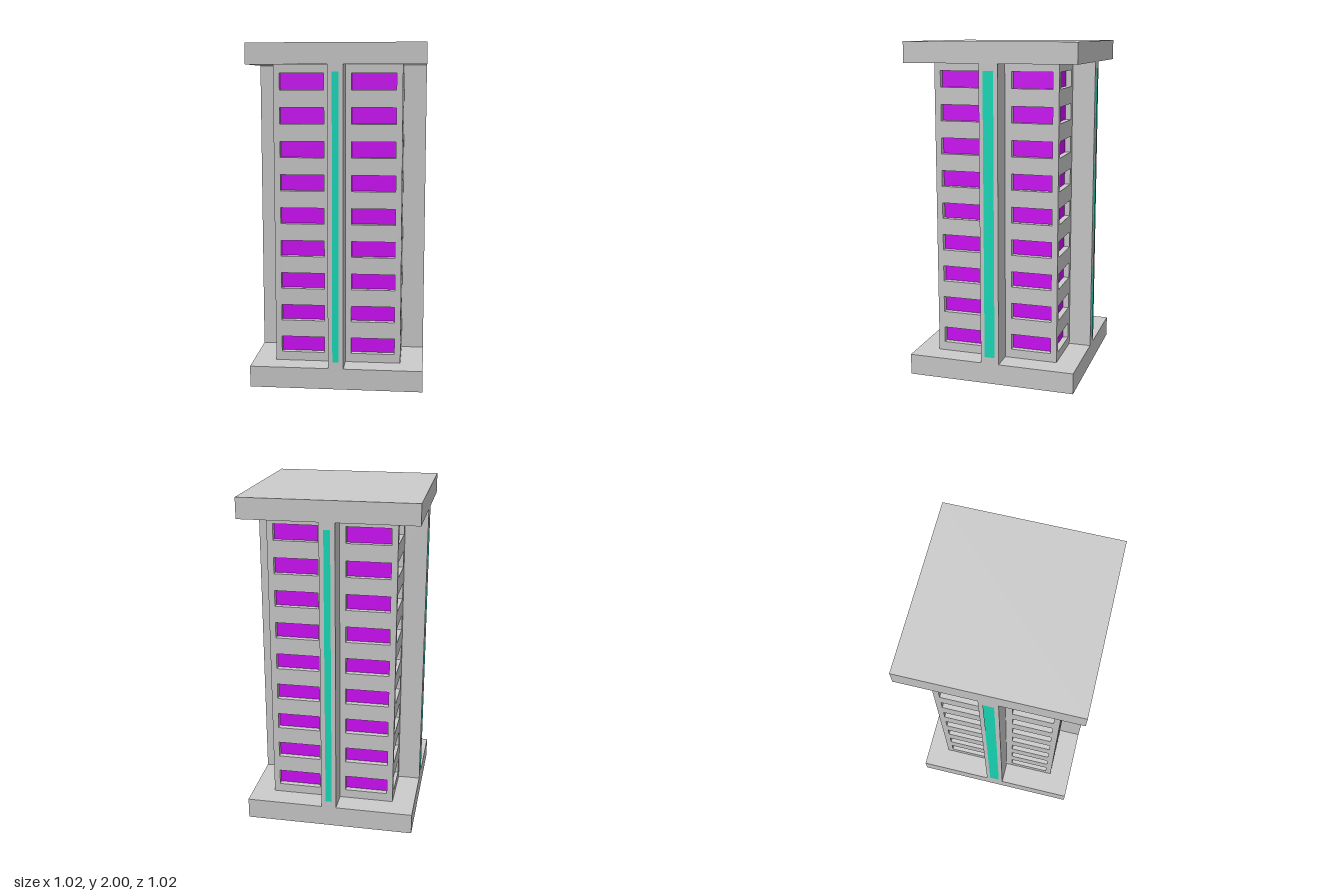
import * as THREE from 'three';

const grey = new THREE.MeshStandardMaterial({ color: 0xcccccc, flatShading: true });
const purple = new THREE.MeshStandardMaterial({ color: 0xd10ffb });
const teal = new THREE.MeshStandardMaterial({ color: 0x18debc });

const HALF = 0.507;              // half width of the slabs and fins
const BODY = 0.373;              // half width of the tower body
const RECESS = 0.035;            // window depth
const Y0 = 0.125, Y1 = 1.88;     // underside and top of the tower body
const FLOORS = 9, FIRST = 0.225, PITCH = 0.195, WIN_H = 0.095;

function add(parent, name, geometry, material, x = 0, y = 0, z = 0) {
  const mesh = new THREE.Mesh(geometry, material);
  mesh.name = name;
  mesh.position.set(x, y, z);
  parent.add(mesh);
  return mesh;
}

// rectangle as a closed path, used for outlines and holes
function rect(PathType, x0, y0, x1, y1) {
  const p = new PathType();
  p.moveTo(x0, y0);
  p.lineTo(x1, y0);
  p.lineTo(x1, y1);
  p.lineTo(x0, y1);
  p.closePath();
  return p;
}

// one facade facing +z: pierced wall, recessed panes and the light strip on its fin
function facade(name, halfWidth, winIn, winOut, stripWidth) {
  const g = new THREE.Group();
  g.name = name;
  const wall = rect(THREE.Shape, -halfWidth, Y0, halfWidth, Y1);
  const pane = new THREE.PlaneGeometry(winOut - winIn, WIN_H);
  for (let i = 0; i < FLOORS; i++) {
    const y = FIRST + i * PITCH;
    for (const s of [-1, 1]) {
      const cx = s * (winIn + winOut) / 2, w = (winOut - winIn) / 2;
      wall.holes.push(rect(THREE.Path, cx - w, y - WIN_H / 2, cx + w, y + WIN_H / 2));
      add(g, 'windowPane', pane, purple, cx, y, BODY - RECESS + 0.001);
    }
  }
  const wallGeo = new THREE.ExtrudeGeometry(wall, { depth: RECESS, bevelEnabled: false });
  add(g, 'wall', wallGeo, grey, 0, 0, BODY - RECESS);
  add(g, 'lightStrip', new THREE.PlaneGeometry(stripWidth, 1.675), teal, 0, 1.0025, HALF + 0.002);
  return g;
}

export function createModel() {
  const model = new THREE.Group();
  model.name = 'tower';

  // base and roof slabs
  add(model, 'baseSlab', new THREE.BoxGeometry(2 * HALF, Y0, 2 * HALF), grey, 0, Y0 / 2, 0);
  add(model, 'roofSlab', new THREE.BoxGeometry(2 * HALF, 2 - Y1, 2 * HALF), grey, 0, (2 + Y1) / 2, 0);

  // crossing fins that run out flush with the slabs
  const h = Y1 - Y0, mid = (Y0 + Y1) / 2;
  add(model, 'frontBackFin', new THREE.BoxGeometry(0.09, h, 2 * HALF), grey, 0, mid, 0);
  add(model, 'sideFin', new THREE.BoxGeometry(2 * HALF, h, 0.11), grey, 0, mid, 0);

  // four facades, opposite ones alike
  ['front', 'left', 'back', 'right'].forEach((side, k) => {
    const f = k % 2 === 0
      ? facade(side + 'Facade', BODY, 0.08, 0.337, 0.038)
      : facade(side + 'Facade', BODY - RECESS, 0.095, 0.337, 0.062);
    f.rotation.y = k * Math.PI / 2;
    model.add(f);
  });

  return model;
}
